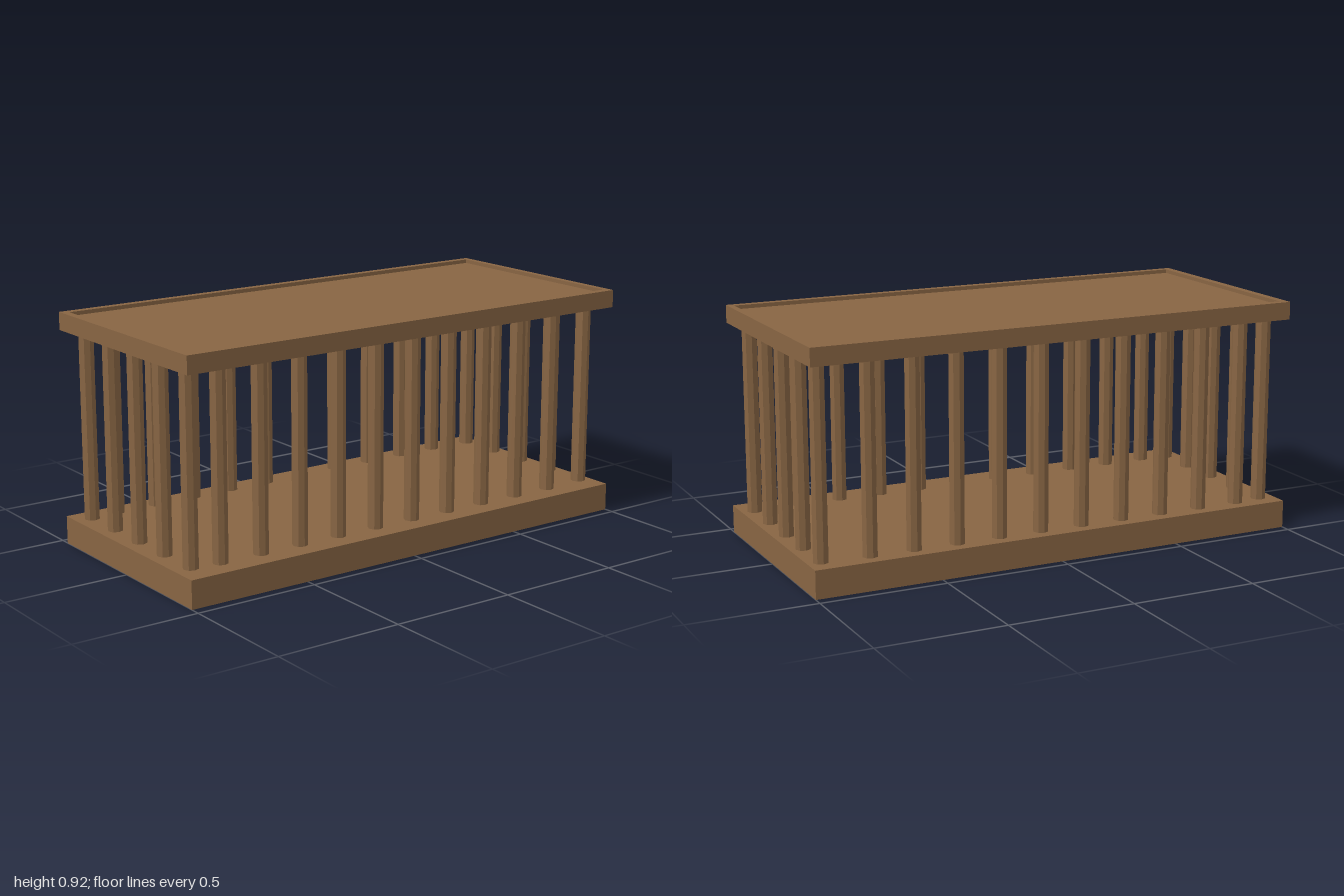
import * as THREE from 'three';

const W = 0.92, D = 2, BASE_TOP = 0.11, ROOF_BOTTOM = 0.85, ROOF_TOP = 0.92;

export function createModel() {
  const group = new THREE.Group();
  const wood = new THREE.MeshStandardMaterial({ color: 0x886543, flatShading: true });
  wood.name = 'brown';

  function add(name, geometry, x, y, z) {
    const mesh = new THREE.Mesh(geometry, wood);
    mesh.name = name;
    mesh.position.set(x, y, z);
    group.add(mesh);
  }

  // Base slab
  add('base', new THREE.BoxGeometry(W, BASE_TOP, D), 0, BASE_TOP / 2, 0);

  // Roof slab with a shallow recess framed by a narrow rim
  const recess = 0.015;
  const slab = ROOF_TOP - ROOF_BOTTOM - recess;
  add('roof', new THREE.BoxGeometry(W, slab, D), 0, ROOF_BOTTOM + slab / 2, 0);

  const outline = new THREE.Shape([
    new THREE.Vector2(-W / 2, -D / 2), new THREE.Vector2(W / 2, -D / 2),
    new THREE.Vector2(W / 2, D / 2), new THREE.Vector2(-W / 2, D / 2),
  ]);
  outline.holes.push(new THREE.Path([
    new THREE.Vector2(-0.43, -0.97), new THREE.Vector2(-0.43, 0.975),
    new THREE.Vector2(0.43, 0.975), new THREE.Vector2(0.43, -0.97),
  ]));
  const rim = new THREE.ExtrudeGeometry(outline, { depth: recess, bevelEnabled: false });
  rim.rotateX(-Math.PI / 2);
  add('roofRim', rim, 0, ROOF_TOP - recess, 0);

  // Columns: five across each end, ten along each side
  const height = ROOF_BOTTOM - BASE_TOP;
  const columnGeometry = new THREE.CylinderGeometry(0.03, 0.03, height, 8);
  const column = (name, x, z) => add(name, columnGeometry, x, BASE_TOP + height / 2, z);

  for (let i = 0; i < 5; i++) {
    const x = -0.377 + i * 0.181;
    column('frontColumn', x, 0.933);
    column('backColumn', x, -0.947);
  }
  for (let i = 0; i < 10; i++) {
    const z = 0.815 - i * 0.175;
    column('leftColumn', 0.36, z);
    column('rightColumn', -0.39, z);
  }

  return group;
}
